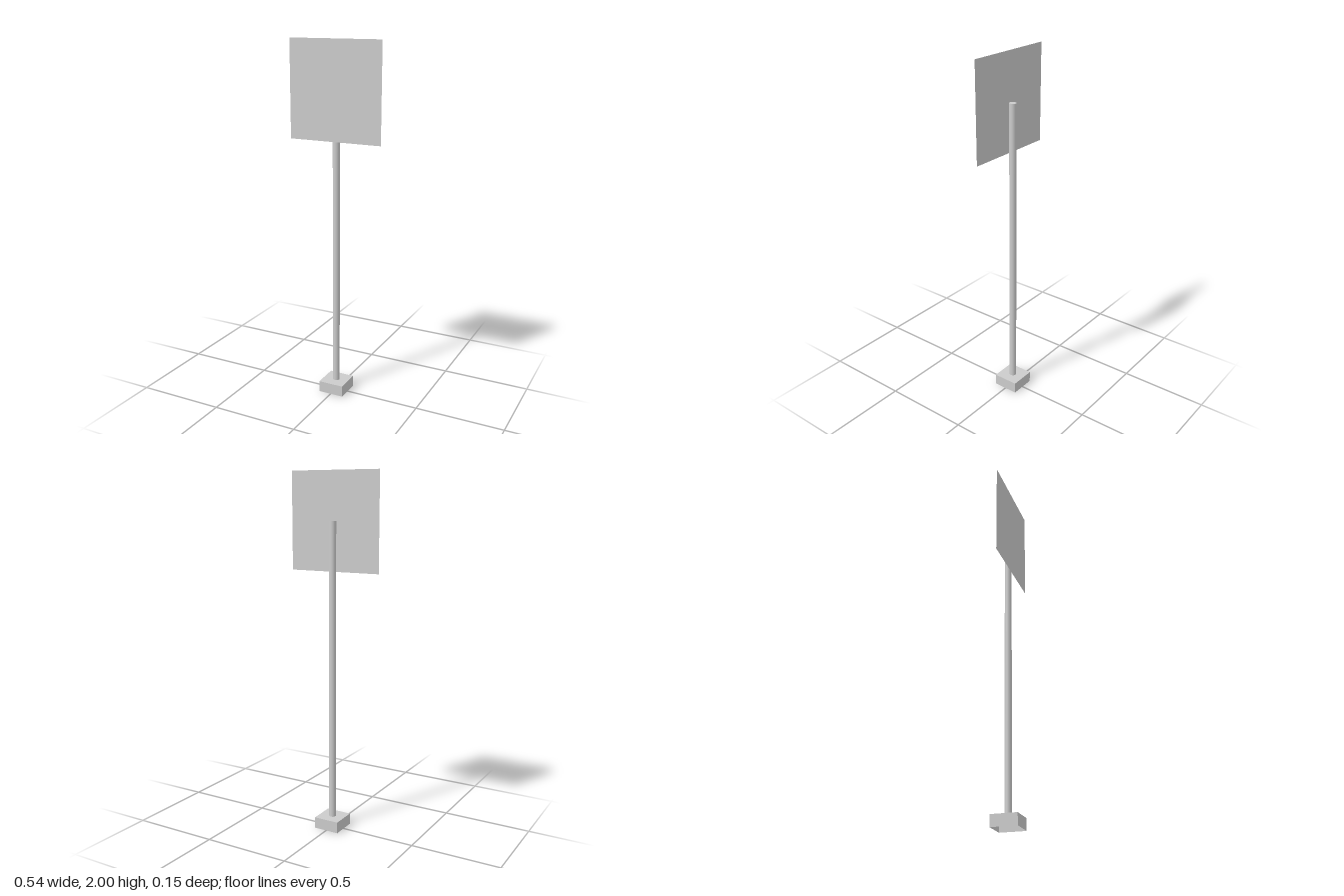
import * as THREE from 'three';

const BASE_WIDTH = 0.146, BASE_HEIGHT = 0.064;
const POLE_RADIUS = 0.0195, POLE_TOP = 1.735;
const PANEL_SIZE = 0.536;

export function createModel() {
  const model = new THREE.Group();
  model.name = 'signpost';
  const solid = new THREE.MeshStandardMaterial({ color: 0xcccccc });
  const thin = new THREE.MeshStandardMaterial({ color: 0xcccccc, side: THREE.DoubleSide });

  const add = (name, geometry, material, y, z = 0) => {
    const mesh = new THREE.Mesh(geometry, material);
    mesh.name = name;
    mesh.position.set(0, y, z);
    model.add(mesh);
  };

  // Hollow foot: a box without its bottom face (indices 18 to 23)
  const foot = new THREE.BoxGeometry(BASE_WIDTH, BASE_HEIGHT, BASE_WIDTH);
  foot.setIndex(Array.from(foot.index.array).filter((_, i) => i < 18 || i >= 24));
  foot.clearGroups();
  add('base', foot, thin, BASE_HEIGHT / 2);

  // Round pole standing on the foot, closed at the top
  const poleLength = POLE_TOP - BASE_HEIGHT;
  add('pole', new THREE.CylinderGeometry(POLE_RADIUS, POLE_RADIUS, poleLength, 32), solid,
    BASE_HEIGHT + poleLength / 2);

  // Thin square panel touching the front of the pole
  add('signPanel', new THREE.PlaneGeometry(PANEL_SIZE, PANEL_SIZE), thin,
    2 - PANEL_SIZE / 2, POLE_RADIUS + 0.0005);

  return model;
}
